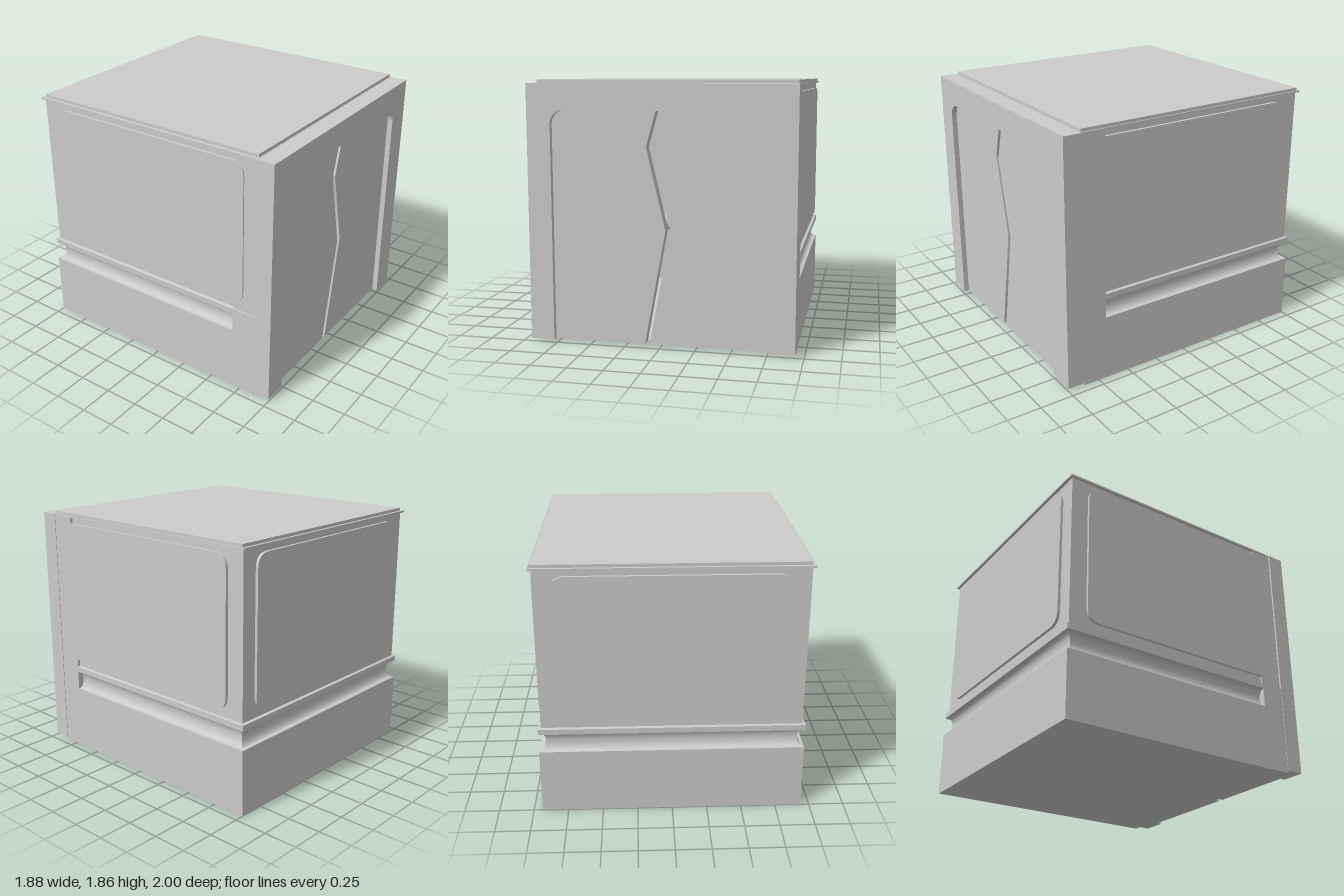
import * as THREE from 'three';
import { toCreasedNormals } from 'three/addons/utils/BufferGeometryUtils.js';

const W = 0.937, BACK = 1.0, SEAM = 0.69, FRONT = 0.87;

export function createModel() {
  const group = new THREE.Group();
  const mat = new THREE.MeshStandardMaterial({ color: 0xcccccc, side: THREE.DoubleSide });

  const add = (name, geo) => {
    const mesh = new THREE.Mesh(geo, mat);
    mesh.name = name;
    group.add(mesh);
    return mesh;
  };
  const box = (name, x0, x1, y0, y1, z0, z1) => {
    const mesh = add(name, new THREE.BoxGeometry(x1 - x0, y1 - y0, z1 - z0));
    mesh.position.set((x0 + x1) / 2, (y0 + y1) / 2, (z0 + z1) / 2);
    return mesh;
  };
  const extrude = (name, shape, depth, curveSegments = 10) =>
    add(name, toCreasedNormals(new THREE.ExtrudeGeometry(shape, { depth, bevelEnabled: false, curveSegments }), 0.5));

  // Rectangle with a separate corner radius at each end (ra at the a end, rb at the b end)
  const roundedRect = (a, b, y0, y1, ra, rb) => {
    const s = new THREE.Shape();
    s.moveTo(a + ra, y0);
    s.lineTo(b - rb, y0);
    s.quadraticCurveTo(b, y0, b, y0 + rb);
    s.lineTo(b, y1 - rb);
    s.quadraticCurveTo(b, y1, b - rb, y1);
    s.lineTo(a + ra, y1);
    s.quadraticCurveTo(a, y1, a, y1 - ra);
    s.lineTo(a, y0 + ra);
    s.quadraticCurveTo(a, y0, a + ra, y0);
    return s;
  };

  // Wall profile as [inset, height]: plinth, concave groove, lip, sunken upper wall, top rim
  const profile = [[0, 0], [0, 0.48]];
  for (let i = 0; i <= 10; i++) {
    const t = (i / 10) * Math.PI;
    profile.push([0.012 + 0.036 * Math.sin(t), 0.55 - 0.068 * Math.cos(t)]);
  }
  profile.push([0, 0.62], [0, 0.66], [0.02, 0.665], [0.02, 1.82], [0, 1.822], [0, 1.835]);

  // Sweep the profile around both sides and the back with mitred corners
  const ring = d => [[W - d, SEAM], [W - d, -BACK + d], [-W + d, -BACK + d], [-W + d, SEAM]];
  const positions = [];
  for (let i = 0; i < profile.length - 1; i++) {
    const [d0, y0] = profile[i], [d1, y1] = profile[i + 1];
    const lo = ring(d0), hi = ring(d1);
    for (let k = 0; k < 3; k++) {
      const a = [lo[k][0], y0, lo[k][1]], b = [lo[k + 1][0], y0, lo[k + 1][1]];
      const c = [hi[k + 1][0], y1, hi[k + 1][1]], e = [hi[k][0], y1, hi[k][1]];
      positions.push(...a, ...b, ...c, ...a, ...c, ...e);
    }
  }
  const wall = new THREE.BufferGeometry();
  wall.setAttribute('position', new THREE.Float32BufferAttribute(positions, 3));
  add('groovedWall', toCreasedNormals(wall, 0.6));

  // Solid side sections ahead of the groove
  box('frontSideLeft', W - 0.06, W, 0, 1.835, SEAM, FRONT);
  box('frontSideRight', -W, -W + 0.06, 0, 0.66, SEAM, FRONT);
  box('frontSideRightUpper', -W + 0.01, -W + 0.06, 0.66, 1.835, SEAM, FRONT);

  // Floor and roof
  box('floor', -W + 0.003, W - 0.003, 0, 0.02, -BACK + 0.003, FRONT);
  box('roofDeck', -W + 0.002, W - 0.002, 1.825, 1.835, -BACK + 0.002, FRONT);
  box('roofSlab', -0.912, 0.927, 1.835, 1.857, -0.978, 0.866);

  // Raised panels on the sides and the back
  const leftPanel = extrude('sidePanelLeft', roundedRect(-SEAM, 0.85, 0.72, 1.78, 0, 0.1), 0.022);
  leftPanel.rotation.y = Math.PI / 2;
  leftPanel.position.x = W - 0.022;
  const rightPanel = extrude('sidePanelRight', roundedRect(-0.85, 0.77, 0.72, 1.78, 0.1, 0.1), 0.022);
  rightPanel.rotation.y = -Math.PI / 2;
  rightPanel.position.x = -W + 0.022;
  extrude('backPanel', roundedRect(-0.8, 0.8, 0.72, 1.78, 0.1, 0.1), 0.022).position.z = -BACK;

  // Front frame with an arched opening
  const L = -0.77, R = 0.75, TOP = 1.65, BASE = 0.02, r = 0.1;
  const frame = new THREE.Shape();
  frame.moveTo(-0.94, BASE);
  frame.lineTo(L, BASE);
  frame.lineTo(L, TOP - r);
  frame.absarc(L + r, TOP - r, r, Math.PI, Math.PI / 2, true);
  frame.lineTo(R - r, TOP);
  frame.absarc(R - r, TOP - r, r, Math.PI / 2, 0, true);
  frame.lineTo(R, BASE);
  frame.lineTo(0.94, BASE);
  frame.lineTo(0.94, 1.833);
  frame.lineTo(-0.94, 1.833);
  frame.closePath();
  extrude('frontFrame', frame, 1 - FRONT).position.z = FRONT;

  // Two door leaves meeting along a zigzag gap
  const gap = [[-0.112, BASE], [0.037, 0.83], [-0.097, 1.4], [-0.027, TOP]];
  const leaf = (name, outer, dir, shift) => {
    const s = new THREE.Shape();
    s.moveTo(outer, BASE);
    gap.forEach(([x, y]) => s.lineTo(x + shift, y));
    s.lineTo(outer - dir * r, TOP);
    s.absarc(outer - dir * r, TOP - r, r, Math.PI / 2, dir > 0 ? 0 : Math.PI, dir > 0);
    s.closePath();
    extrude(name, s, 0.08).position.z = 0.88;
  };
  leaf('doorLeafRight', L, -1, 0);
  leaf('doorLeafLeft', R, 1, 0.035);

  return group;
}
